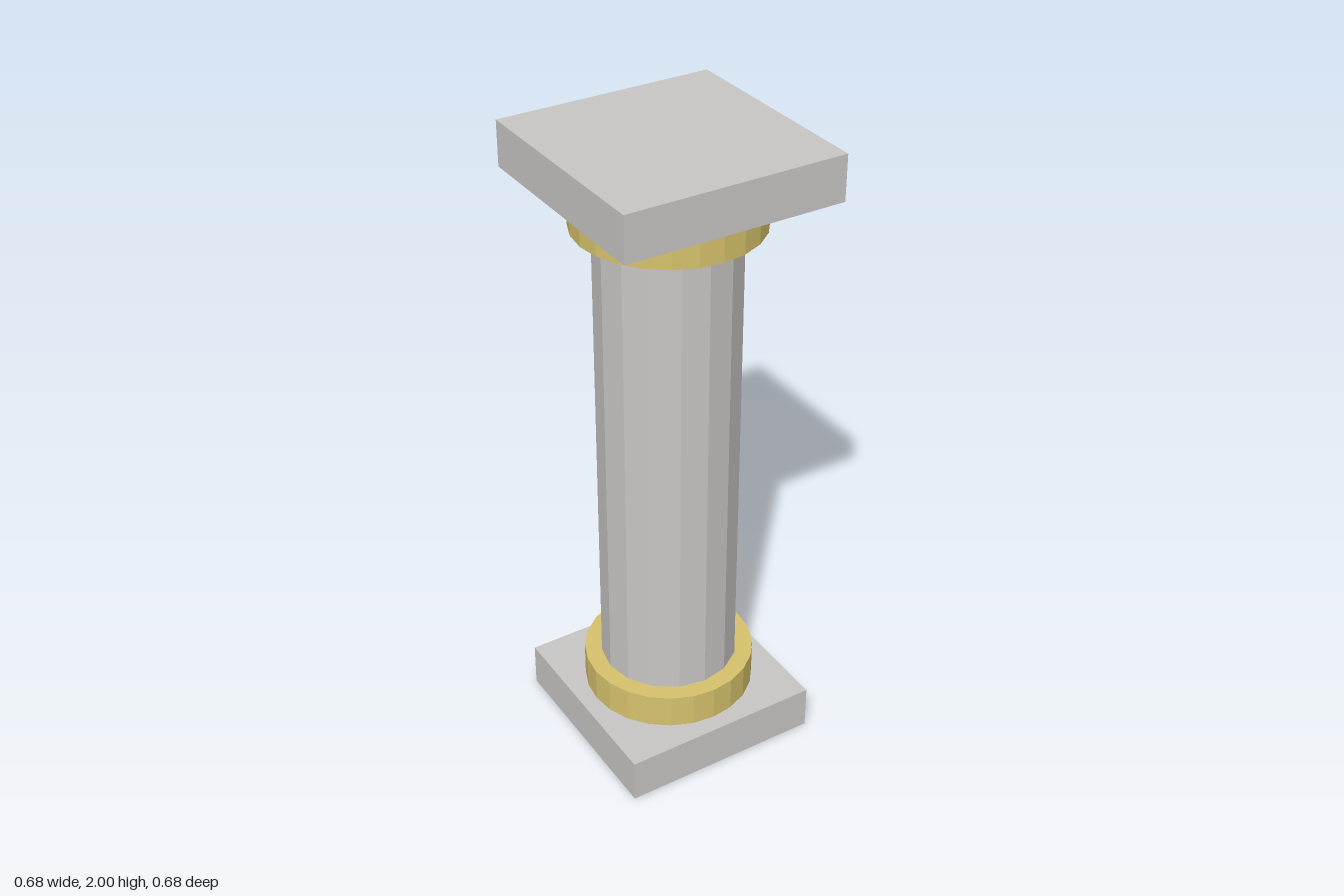
import * as THREE from 'three';

export function createModel() {
  const column = new THREE.Group();
  column.name = 'column';

  const stone = new THREE.MeshStandardMaterial({ color: 0xc9c7c5, flatShading: true });
  stone.name = 'stone';
  const gold = new THREE.MeshStandardMaterial({ color: 0xd6c26c, flatShading: true });
  gold.name = 'gold';

  // Places a part so that it spans from bottom to top
  const add = (name, geometry, material, bottom, top) => {
    const mesh = new THREE.Mesh(geometry, material);
    mesh.name = name;
    mesh.position.y = (bottom + top) / 2;
    column.add(mesh);
  };
  const slab = (name, width, bottom, top) =>
    add(name, new THREE.BoxGeometry(width, top - bottom, width), stone, bottom, top);
  const drum = (name, radius, sides, material, bottom, top) =>
    add(name, new THREE.CylinderGeometry(radius, radius, top - bottom, sides), material, bottom, top);

  // Square foot and gold ring
  slab('plinth', 0.64, 0, 0.143);
  drum('lowerRing', 0.268, 24, gold, 0.143, 0.254);

  // Faceted shaft
  drum('shaft', 0.215, 16, stone, 0.254, 1.748);

  // Gold ring and square top
  drum('upperRing', 0.278, 24, gold, 1.748, 1.862);
  slab('abacus', 0.678, 1.862, 2);

  return column;
}
